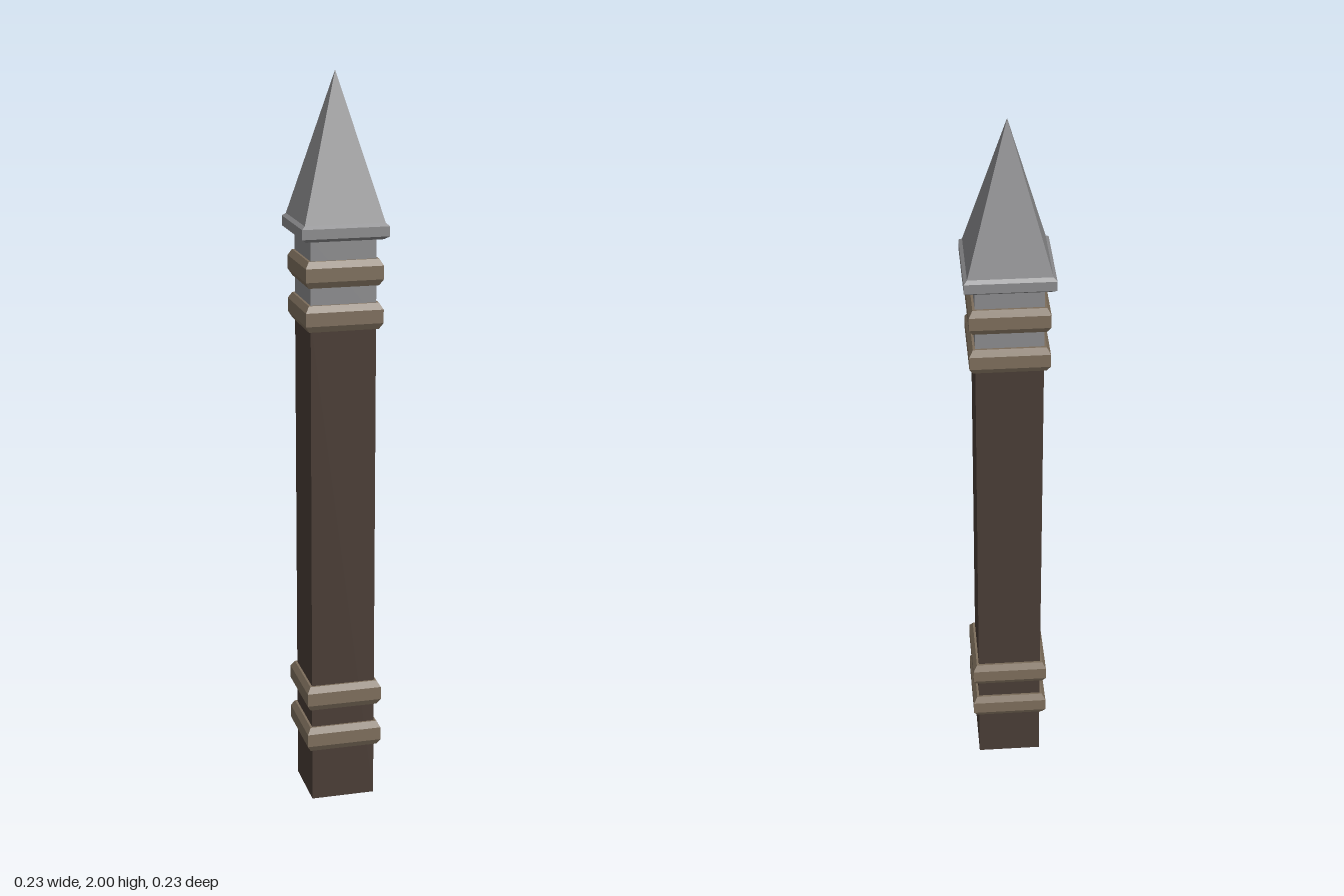
import * as THREE from 'three';

const wood = new THREE.MeshStandardMaterial({ color: 0x493c35 });
wood.name = 'darkWood';
const stone = new THREE.MeshStandardMaterial({ color: 0x8a8a8c });
stone.name = 'greyMetal';
const cord = new THREE.MeshStandardMaterial({ color: 0x7c6d5b });
cord.name = 'tanBinding';

// Square-section part from [half width, height] pairs, listed bottom to top
function squarePart(name, profile, material) {
  const points = profile.map(([half, y]) => new THREE.Vector2(half * Math.SQRT2, y));
  const geometry = new THREE.LatheGeometry(points, 4, Math.PI / 4).toNonIndexed();
  geometry.computeVertexNormals();
  const mesh = new THREE.Mesh(geometry, material);
  mesh.name = name;
  return mesh;
}

export function createModel() {
  const model = new THREE.Group();
  model.name = 'squareSpikePost';

  // Wooden shaft, closed at both ends
  model.add(squarePart('shaft', [[0, 0], [0.088, 0], [0.088, 1.37], [0, 1.37]], wood));

  // Metal neck under the spike
  model.add(squarePart('neck', [[0, 1.37], [0.088, 1.37], [0.088, 1.585]], stone));

  // Flared collar and pyramid point
  model.add(squarePart('spikeCollar', [
    [0.086, 1.577], [0.104, 1.577], [0.116, 1.586], [0.116, 1.612], [0.107, 1.62],
  ], stone));
  model.add(squarePart('spikePoint', [[0.107, 1.62], [0, 2]], stone));

  // Rounded binding bands, two near each end
  [0.185, 0.307, 1.374, 1.49].forEach((y, i) => {
    const band = squarePart('bindingBand' + (i + 1), [
      [0.086, -0.035], [0.094, -0.035], [0.104, -0.018],
      [0.104, 0.018], [0.094, 0.035], [0.086, 0.035],
    ], cord);
    band.position.y = y;
    model.add(band);
  });

  return model;
}
